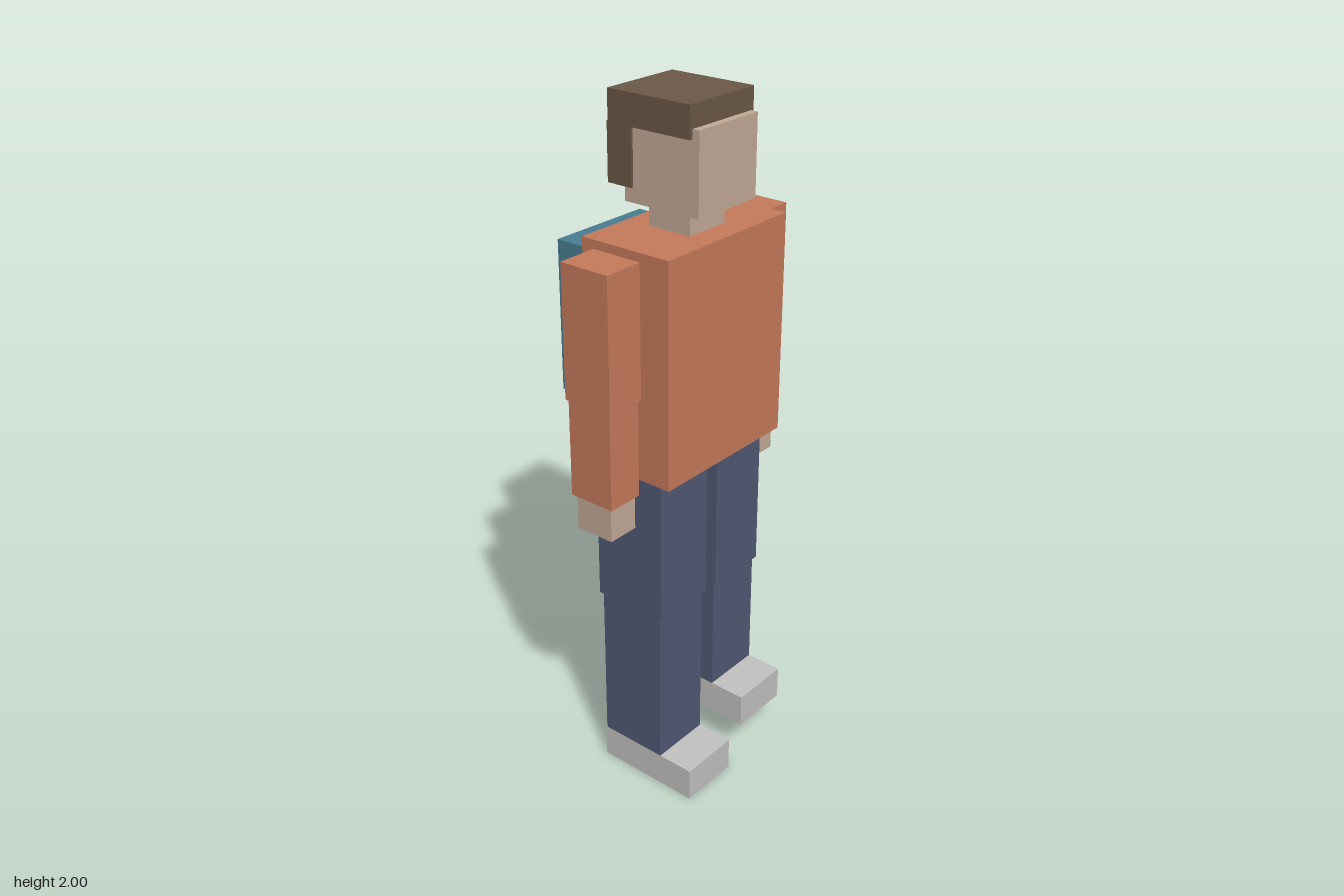
import * as THREE from 'three';

const material = (name, color) => {
  const m = new THREE.MeshStandardMaterial({ color });
  m.name = name;
  return m;
};

export function createModel() {
  const skin = material('skin', 0xc4ab98);
  const hair = material('brown hair', 0x6c5947);
  const shirt = material('terracotta shirt', 0xc67b5c);
  const denim = material('navy trousers', 0x515a75);
  const shoe = material('pale grey shoes', 0xc3c3c1);
  const pack = material('teal backpack', 0x4a7f92);

  const model = new THREE.Group();
  model.name = 'blockFigure';

  // Box given by its [min, max] extent on each axis
  const block = (parent, name, mat, [x0, x1], [y0, y1], [z0, z1]) => {
    const mesh = new THREE.Mesh(new THREE.BoxGeometry(x1 - x0, y1 - y0, z1 - z0), mat);
    mesh.position.set((x0 + x1) / 2, (y0 + y1) / 2, (z0 + z1) / 2);
    mesh.name = name;
    parent.add(mesh);
  };
  const group = (name) => {
    const g = new THREE.Group();
    g.name = name;
    model.add(g);
    return g;
  };

  // Head, neck and hair
  const head = group('head');
  block(head, 'neck', skin, [-0.07, 0.07], [1.65, 1.72], [-0.015, 0.12]);
  block(head, 'face', skin, [-0.115, 0.115], [1.72, 1.94], [-0.055, 0.183]);
  block(head, 'hairTop', hair, [-0.125, 0.125], [1.915, 2], [-0.1, 0.162]);
  block(head, 'hairBack', hair, [-0.122, 0.122], [1.76, 1.918], [-0.106, -0.027]);

  // Torso and backpack
  block(model, 'torso', shirt, [-0.24, 0.24], [1.02, 1.652], [-0.09, 0.192]);
  block(model, 'backpack', pack, [-0.164, 0.164], [1.155, 1.588], [-0.25, -0.108]);

  // Limbs; the left foot is lifted in a step
  for (const [side, s, lift] of [['left', 1, 0.123], ['right', -1, 0]]) {
    const span = (inner, outer) => (s > 0 ? [inner, outer] : [-outer, -inner]);

    const arm = group(side + 'Arm');
    block(arm, 'upperArm', shirt, span(0.245, 0.364), [1.258, 1.63], [-0.047, 0.105]);
    block(arm, 'forearm', shirt, span(0.25, 0.359), [0.98, 1.258], [-0.041, 0.099]);
    block(arm, 'hand', skin, span(0.257, 0.352), [0.88, 0.98], [-0.028, 0.09]);

    const leg = group(side + 'Leg');
    block(leg, 'thigh', denim, span(0.023, 0.218), [0.583, 1.02], [-0.082, 0.147]);
    block(leg, 'shin', denim, span(0.028, 0.213), [0.1 + lift, 0.583], [-0.072, 0.137]);
    block(leg, 'shoe', shoe, span(0.028, 0.213), [lift, 0.1 + lift], [-0.076, 0.248]);
  }

  return model;
}
